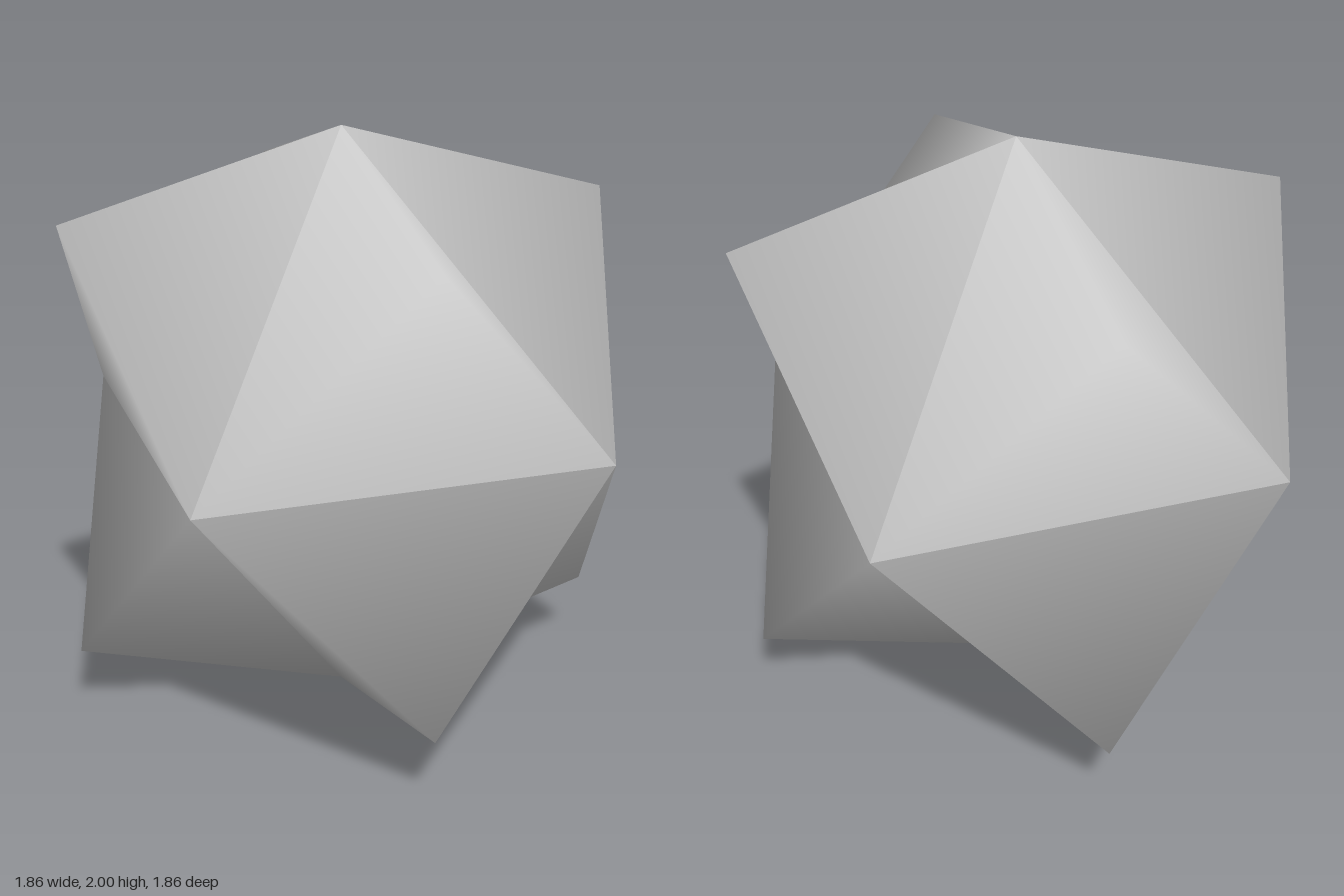
import * as THREE from 'three';

const CORNER = 0.69; // x and z of the four waist corners
const PEAK_OUT = 0.93; // reach of each pyramid's peak
const PEAK_UP = 0.74; // height of the peak above or below the waist

// Three-sided pyramid over one octahedron face, smooth inside, sharp at its rim.
// up = 1 for the upper half, -1 for the mirrored lower half.
function pyramid(up) {
  const geometry = new THREE.BufferGeometry();
  geometry.setAttribute('position', new THREE.Float32BufferAttribute([
    0, up, 0, // pole
    -CORNER, 0, CORNER,
    CORNER, 0, CORNER,
    0, PEAK_UP * up, PEAK_OUT, // peak
  ], 3));
  geometry.setIndex(up > 0
    ? [0, 1, 3, 1, 2, 3, 2, 0, 3]
    : [0, 3, 1, 1, 3, 2, 2, 3, 0]);
  geometry.computeVertexNormals();
  return geometry;
}

export function createModel() {
  const model = new THREE.Group();
  model.name = 'stellatedOctahedron';
  const material = new THREE.MeshStandardMaterial({ color: 0xcccccc });
  const sides = ['Front', 'Left', 'Back', 'Right'];

  // Eight pyramids: four round the top pole, four round the bottom pole
  for (const up of [1, -1]) {
    const geometry = pyramid(up);
    sides.forEach((side, i) => {
      const mesh = new THREE.Mesh(geometry, material);
      mesh.name = (up > 0 ? 'upper' : 'lower') + side + 'Pyramid';
      mesh.position.y = 1;
      mesh.rotation.y = i * Math.PI / 2;
      model.add(mesh);
    });
  }
  return model;
}
